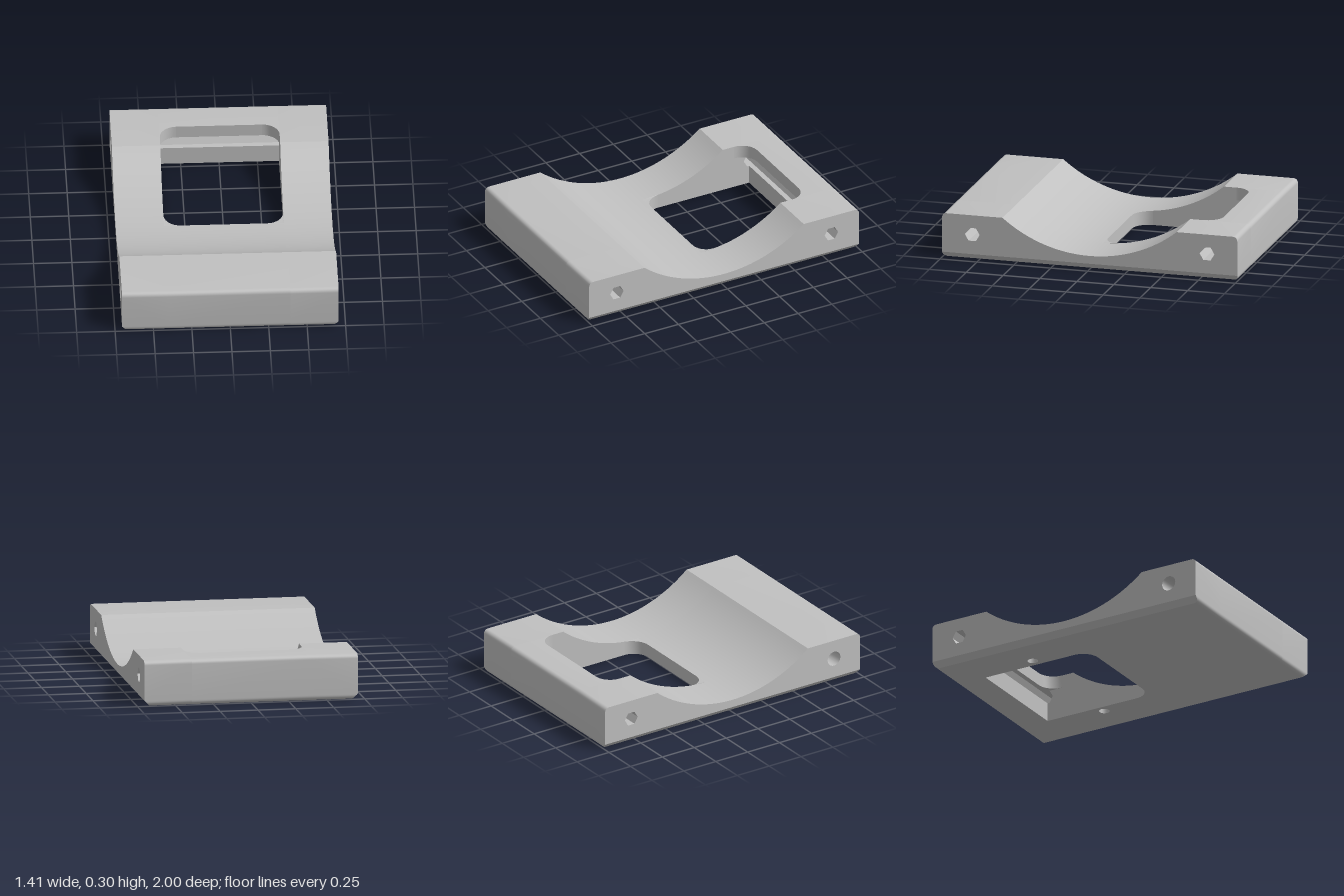
import * as THREE from 'three';
import { mergeGeometries, toCreasedNormals } from 'three/addons/utils/BufferGeometryUtils.js';

// Main sizes
const W = 0.705, L = 1, H = 0.3, ROUND = 0.03, CHAMFER = 0.037;
const POCKET_X = 0.39, POCKET_Z = -0.785, POCKET_R = 0.11;
const SADDLE_Z = 0.59, SADDLE_R = 0.934, SADDLE_Y = 1.024;
const BORE_Z = 0.795, BORE_Y = 0.17, BORE_R = 0.05, BORE_H = BORE_R * Math.sin(Math.PI / 3);
const PEG_X = 0.45, PEG_Z = -0.39, PEG_R = 0.035, PEG_DEPTH = 0.08;

const saddleY = z => Math.min(H, SADDLE_Y - Math.sqrt(SADDLE_R ** 2 - z * z));
const outerX = y => Math.min(W, W - CHAMFER + y);

// Points [a, b] along an arc, angles in degrees
function arc(ca, cb, r, from, to, n) {
  return Array.from({ length: n + 1 }, (_, i) => {
    const t = THREE.MathUtils.degToRad(from + (to - from) * i / n);
    return [ca + r * Math.cos(t), cb + r * Math.sin(t)];
  });
}

// Skin that follows a chain of [z, y] points between two x limits
function strip(chain, x0, x1) {
  const pos = [];
  for (let i = 0; i < chain.length - 1; i++) {
    const [z0, y0] = chain[i], [z1, y1] = chain[i + 1];
    const a0 = [x0(y0), y0, z0], b0 = [x1(y0), y0, z0], a1 = [x0(y1), y1, z1], b1 = [x1(y1), y1, z1];
    pos.push(...a0, ...b0, ...b1, ...a0, ...b1, ...a1);
  }
  return new THREE.BufferGeometry().setAttribute('position', new THREE.Float32BufferAttribute(pos, 3));
}

function shapeOf(points, holes = []) {
  const v = list => list.map(([a, b]) => new THREE.Vector2(a, b));
  const shape = new THREE.Shape(v(points));
  shape.holes = holes.map(h => new THREE.Path(v(h)));
  return shape;
}

// Flat face from [z, y] points, facing +x
function sideFace(points, holes, x) {
  const turn = list => list.map(([z, y]) => [-z, y]);
  return new THREE.ShapeGeometry(shapeOf(turn(points), holes.map(turn))).rotateY(Math.PI / 2).translate(x, 0, 0);
}

function plain(geo) {
  const g = geo.index ? geo.toNonIndexed() : geo.clone();
  for (const key of Object.keys(g.attributes)) if (key !== 'position') g.deleteAttribute(key);
  g.clearGroups();
  return g;
}

// Reverse the winding
function flip(geo) {
  const g = plain(geo), a = g.attributes.position.array;
  for (let i = 0; i < a.length; i += 9) {
    for (let k = 0; k < 3; k++) [a[i + 3 + k], a[i + 6 + k]] = [a[i + 6 + k], a[i + 3 + k]];
  }
  return g;
}
const mirror = geo => flip(plain(geo).scale(-1, 1, 1));
const both = geo => [geo, mirror(geo)];

// Block inside a pocket corner that gives it its rounding
function pocketCorner(z, side, bottom, top) {
  const curve = arc(POCKET_X - POCKET_R, -z - side * POCKET_R, POCKET_R, 0, 90 * side, 10);
  const geo = new THREE.ExtrudeGeometry(shapeOf([[POCKET_X, -z], ...curve]), { depth: 1, bevelEnabled: false });
  geo.rotateX(-Math.PI / 2);
  const p = geo.attributes.position;
  for (let i = 0; i < p.count; i++) p.setY(i, p.getY(i) > 0.5 ? top(p.getZ(i)) : bottom);
  return geo;
}

export function createModel() {
  const model = new THREE.Group();
  const grey = new THREE.MeshStandardMaterial({ color: 0xc0c0c0 });
  grey.name = 'grey';
  const add = (name, ...geos) => {
    const mesh = new THREE.Mesh(toCreasedNormals(mergeGeometries(geos.map(plain)), 0.6), grey);
    mesh.name = name;
    model.add(mesh);
  };
  const at = x => () => x;

  // Side profile, from bottom front over the saddle to bottom back
  const N = 48;
  const saddle = Array.from({ length: N + 1 }, (_, i) => {
    const z = SADDLE_Z * (1 - 2 * i / N);
    return [z, i % N ? saddleY(z) : H];
  });
  const c = L - ROUND;
  const frontLow = arc(c, ROUND, ROUND, -90, 0, 6);
  const backLow = arc(-c, ROUND, ROUND, 180, 270, 6);
  const upper = [[L, CHAMFER], ...arc(c, H - ROUND, ROUND, 0, 90, 6), ...saddle,
    ...arc(-c, H - ROUND, ROUND, 90, 180, 6), [-L, CHAMFER]];
  const outline = [...frontLow, ...upper, ...backLow];

  // Outer skin: two full-length sides and the front half between them
  add('sideSkin', ...both(strip(outline, at(POCKET_X), outerX)));
  const frontHalf = outline.filter(([z]) => z > -1e-6);
  add('frontSkin', strip([...frontHalf, [0, 0]], at(-POCKET_X), at(POCKET_X)));

  // Back bar, with the open half of the bore as a groove in its pocket wall
  const groove = [[POCKET_Z, 0], [POCKET_Z, BORE_Y - BORE_H], [-BORE_Z - BORE_R / 2, BORE_Y - BORE_H],
    [-BORE_Z - BORE_R, BORE_Y], [-BORE_Z - BORE_R / 2, BORE_Y + BORE_H], [POCKET_Z, BORE_Y + BORE_H]];
  const backBar = outline.filter(([z]) => z < POCKET_Z);
  add('backBar', strip([...groove, [POCKET_Z, H], ...backBar], at(-POCKET_X), at(POCKET_X)));

  // Bores: hexagonal, with one round end
  const hex = z => arc(z, BORE_Y, BORE_R, 360, 0, 6);
  const round = arc(BORE_Z, BORE_Y, BORE_R, 360, 0, 24);
  const open = loop => loop.slice(0, -1);
  add('backBore', ...both(strip(hex(-BORE_Z), at(POCKET_X), at(W))));
  add('frontBore', strip(hex(BORE_Z), at(-POCKET_X), at(W)), strip(round, at(-W), at(-POCKET_X)),
    flip(sideFace(open(round), [open(hex(BORE_Z))], -POCKET_X)));

  // End faces and the sloped chamfers under them
  const backHole = open(hex(-BORE_Z));
  add('leftFace', sideFace(upper, [open(hex(BORE_Z)), backHole], W));
  add('rightFace', mirror(sideFace(upper, [open(round), backHole], W)));
  const slope = sideFace([...frontLow, [L, CHAMFER], [-L, CHAMFER], ...backLow], [], 0);
  const sp = slope.attributes.position;
  for (let i = 0; i < sp.count; i++) sp.setX(i, outerX(sp.getY(i)));
  add('bottomChamfer', ...both(slope));

  // Pocket side walls, notched where the back bore breaks through
  const wall = [[0, 0], ...saddle.filter(([z]) => z < 1e-6), [POCKET_Z, H], [POCKET_Z, BORE_Y + BORE_H],
    [-BORE_Z + BORE_R / 2, BORE_Y + BORE_H], [-BORE_Z + BORE_R, BORE_Y],
    [-BORE_Z + BORE_R / 2, BORE_Y - BORE_H], [POCKET_Z, BORE_Y - BORE_H], [POCKET_Z, 0]];
  add('pocketWall', ...both(sideFace(wall, [], -POCKET_X)));

  // Rounded pocket corners: full height in front, only above the bore at the back
  add('pocketFrontCorner', ...both(pocketCorner(0, -1, 0, saddleY)));
  add('pocketBackCorner', ...both(pocketCorner(POCKET_Z, 1, BORE_Y + BORE_H, at(H))));

  // Underside with the pocket opening and two blind peg holes
  const bx = W - CHAMFER;
  const pegs = [-PEG_X, PEG_X].map(x => open(arc(x, PEG_Z, PEG_R, 0, 360, 24)));
  const opening = [[-POCKET_X, 0], [POCKET_X, 0], [POCKET_X, POCKET_Z], [-POCKET_X, POCKET_Z]];
  const base = shapeOf([[-bx, -c], [bx, -c], [bx, c], [-bx, c]], [opening, ...pegs]);
  add('underside', new THREE.ShapeGeometry(base).rotateX(Math.PI / 2));
  const tube = new THREE.CylinderGeometry(PEG_R, PEG_R, PEG_DEPTH, 24, 1, true).translate(PEG_X, PEG_DEPTH / 2, PEG_Z);
  const end = new THREE.CircleGeometry(PEG_R, 24).rotateX(Math.PI / 2).translate(PEG_X, PEG_DEPTH, PEG_Z);
  add('pegHole', ...both(flip(tube)), ...both(end));

  return model;
}
